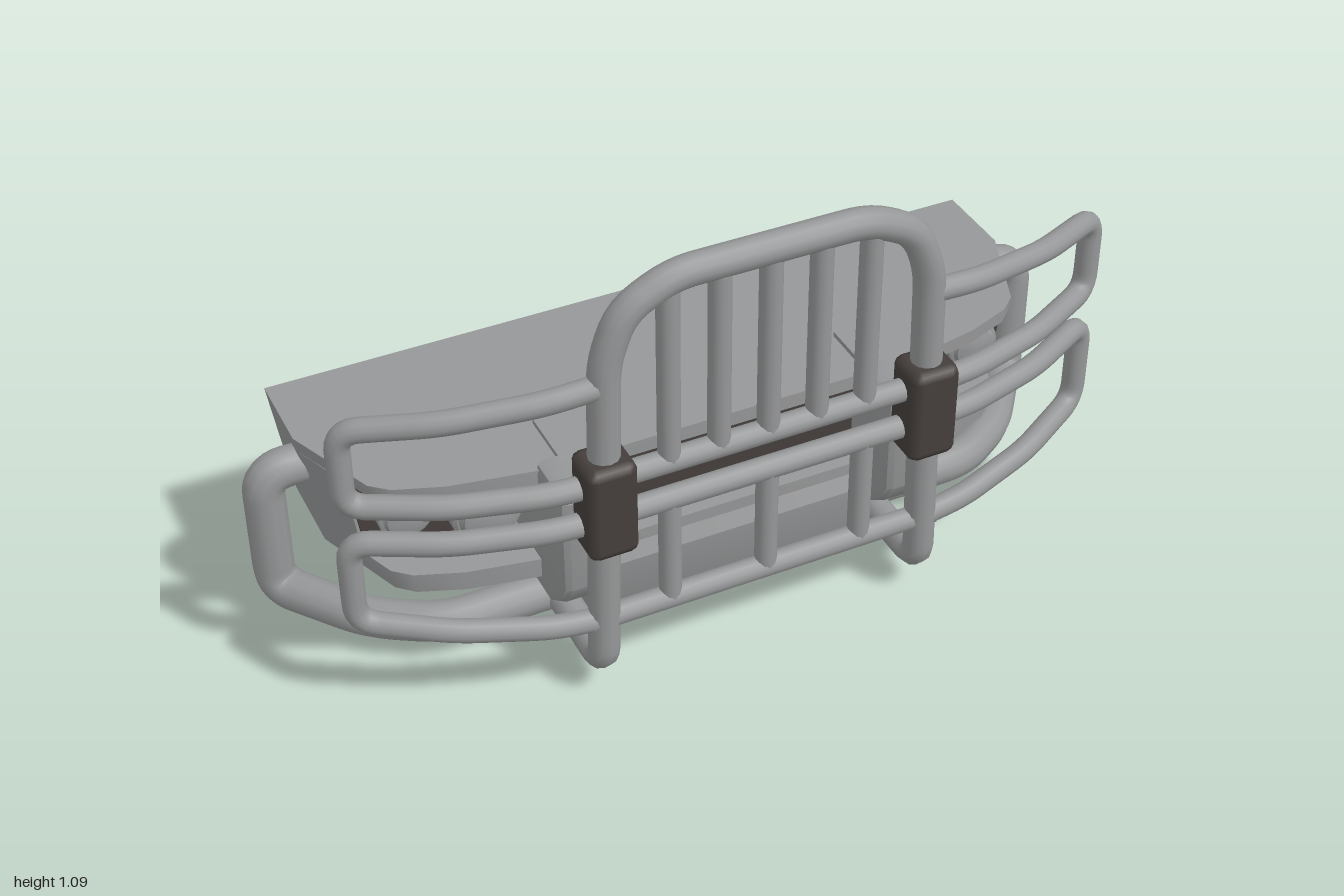
import * as THREE from 'three';
import { toCreasedNormals } from 'three/addons/utils/BufferGeometryUtils.js';
import { RoundedBoxGeometry } from 'three/addons/geometries/RoundedBoxGeometry.js';

const mat = (name, color) => Object.assign(new THREE.MeshStandardMaterial({ color }), { name });

export function createModel() {
  const model = new THREE.Group();
  model.name = 'bullBarBumper';
  const metal = mat('satin grey', 0x969798);
  const dark = mat('dark brown grey', 0x453f3c);

  const add = (name, geometry, material = metal) => {
    const mesh = new THREE.Mesh(geometry, material);
    mesh.name = name;
    model.add(mesh);
    return mesh;
  };

  // Bent pipe: straight runs joined by rounded corners
  const pipe = (name, pts, r, bend = 0.06, steps = 64) => {
    const p = pts.map((a) => new THREE.Vector3(...a));
    const path = new THREE.CurvePath();
    let from = p[0];
    for (let i = 1; i < p.length - 1; i++) {
      const cut = (q) => p[i].clone().lerp(q, Math.min(0.45, bend / p[i].distanceTo(q)));
      const a = cut(p[i - 1]), b = cut(p[i + 1]);
      path.add(new THREE.LineCurve3(from, a));
      path.add(new THREE.QuadraticBezierCurve3(a, p[i], b));
      from = b;
    }
    path.add(new THREE.LineCurve3(from, p[p.length - 1]));
    return add(name, new THREE.TubeGeometry(path, steps, r, 12));
  };

  // Horizontal slab from a half outline of (x, z), narrower toward the bottom
  const slab = (name, half, y0, y1) => {
    const full = [...half, ...half.map(([x, z]) => [-x, z]).reverse()];
    const shape = new THREE.Shape(full.map(([x, z]) => new THREE.Vector2(x, -z)));
    const g = new THREE.ExtrudeGeometry(shape, { depth: y1 - y0, bevelEnabled: false });
    g.rotateX(-Math.PI / 2).translate(0, y0, 0);
    const pos = g.attributes.position;
    for (let i = 0; i < pos.count; i++) {
      pos.setX(i, pos.getX(i) * (1 - 0.05 * (0.51 - pos.getY(i)) / 0.3));
    }
    return add(name, toCreasedNormals(g, 0.6));
  };

  // Side profile of (z, y) extruded along x, with chamfered ends
  const profile = (name, pts, cx, width, bevel) => {
    const shape = new THREE.Shape(pts.map(([z, y]) => new THREE.Vector2(z, y)));
    const g = new THREE.ExtrudeGeometry(shape, {
      depth: width - 2 * bevel, bevelThickness: bevel, bevelSize: bevel,
      bevelOffset: -bevel, bevelSegments: 2,
    });
    g.rotateY(-Math.PI / 2).translate(cx + width / 2 - bevel, 0, 0);
    return add(name, toCreasedNormals(g, 0.6));
  };

  // Bumper body: two lips around a recessed core
  const lip = [[0.88, -0.39], [0.88, -0.19], [0.79, 0.03], [0.75, 0.065], [0.64, 0.105], [0.45, 0.14]];
  slab('upperLip', lip, 0.475, 0.51);
  slab('lowerLip', lip, 0.21, 0.26);
  slab('bumperCore', [[0.88, -0.39], [0.88, -0.19], [0.825, -0.05], [0.42, -0.04], [0.42, 0.09]], 0.26, 0.475);

  // Dark recess panels
  add('centreGrille', new THREE.BoxGeometry(0.8, 0.213, 0.008), dark).position.set(0, 0.367, 0.095);

  // Skid plate under the middle
  profile('skidPlate', [[-0.045, 0.23], [-0.045, 0.005], [0.085, 0.005], [0.16, 0.045], [0.185, 0.09],
    [0.195, 0.23]], 0, 0.7, 0.025);

  // Main hoop, running down and back under the bumper
  pipe('mainHoop', [[-0.39, 0.1, 0], [-0.39, 0.1, 0.332], [-0.372, 0.9, 0.332], [-0.33, 1.01, 0.332],
    [-0.22, 1.065, 0.332], [0.22, 1.065, 0.332], [0.33, 1.01, 0.332], [0.372, 0.9, 0.332],
    [0.39, 0.1, 0.332], [0.39, 0.1, 0]], 0.035, 0.05, 140);

  // Grille bars
  const bar = (name, x, y0, y1) =>
    add(name, new THREE.CylinderGeometry(0.025, 0.025, y1 - y0, 12)).position.set(x, (y0 + y1) / 2, 0.33);
  for (let i = -2; i <= 2; i++) bar('upperBar', i * 0.115, 0.6, 1.06);
  for (let i = -1; i <= 1; i++) bar('lowerBar', i * 0.23, 0.225, 0.5);

  // Cross bars between the uprights
  for (const y of [0.6, 0.5, 0.225]) {
    pipe('crossBar', [[-0.42, y, 0.33], [0.42, y, 0.33]], 0.027, 0, 1);
  }

  const lamp = (name, x, y, r, z0, z1) => {
    const d = z1 - z0;
    const pts = [[r, z0], [r, z0 + d * 0.75], [r * 0.9, z0 + d * 0.8], [r * 0.86, z0 + d * 0.8],
      [r * 0.76, z0 + d * 0.92], [r * 0.45, z1], [0, z1]].map(([a, b]) => new THREE.Vector2(a, b));
    const g = new THREE.LatheGeometry(pts, 20);
    g.rotateX(Math.PI / 2);
    add(name, toCreasedNormals(g, 0.6)).position.set(x, y, 0);
  };

  for (const s of [1, -1]) {
    const side = s > 0 ? 'left' : 'right';

    // Wing loops sweeping back at the outer ends
    pipe(side + 'UpperWing', [[0.38, 0.845, 0.335], [0.5, 0.833, 0.325], [0.7, 0.812, 0.27], [0.885, 0.79, 0.175],
      [0.885, 0.597, 0.175], [0.7, 0.597, 0.27], [0.5, 0.597, 0.325], [0.38, 0.597, 0.333]]
      .map(([x, y, z]) => [s * x, y, z]), 0.027, 0.05, 80);
    pipe(side + 'LowerWing', [[0.38, 0.5, 0.333], [0.5, 0.5, 0.325], [0.7, 0.5, 0.27], [0.885, 0.5, 0.175],
      [0.885, 0.285, 0.175], [0.7, 0.26, 0.27], [0.5, 0.235, 0.325], [0.38, 0.225, 0.333]]
      .map(([x, y, z]) => [s * x, y, z]), 0.027, 0.05, 80);

    // Corner pipe from the skid plate round to the body end
    pipe(side + 'CornerPipe', [[0.3, 0.1, 0.065], [0.66, 0.1, 0.065], [0.8, 0.1, -0.02], [0.952, 0.1, -0.218],
      [0.952, 0.42, -0.218], [0.82, 0.42, -0.218]].map(([x, y, z]) => [s * x, y, z]), 0.047, 0.06, 80);

    // Clamp joining the bars to the upright
    add(side + 'Clamp', new RoundedBoxGeometry(0.115, 0.235, 0.11, 1, 0.022), dark)
      .position.set(s * 0.378, 0.548, 0.335);

    // Mounting bracket and its top strap
    profile(side + 'Bracket', [[-0.06, 0.2], [-0.03, 0.16], [0.17, 0.16], [0.225, 0.2], [0.262, 0.26],
      [0.262, 0.5], [0.24, 0.522], [0.125, 0.522], [0.1, 0.46], [-0.06, 0.46]], s * 0.393, 0.112, 0.02);
    add(side + 'Strap', new THREE.BoxGeometry(0.05, 0.03, 0.16)).position.set(s * 0.37, 0.507, 0.065);

    // Lamp recess and its two lamps
    const back = new THREE.BoxGeometry(0.37, 0.213, 0.008);
    const pos = back.attributes.position;
    for (let i = 0; i < pos.count; i++) {
      if (pos.getX(i) * s > 0 && pos.getY(i) < 0) pos.setX(i, pos.getX(i) - s * 0.03);
    }
    add(side + 'LampRecess', back, dark).position.set(s * 0.63, 0.367, -0.038);
    lamp(side + 'MainLamp', s * 0.535, 0.365, 0.083, -0.05, 0.09);
    lamp(side + 'SmallLamp', s * 0.705, 0.388, 0.064, -0.05, 0.035);
  }
  return model;
}
